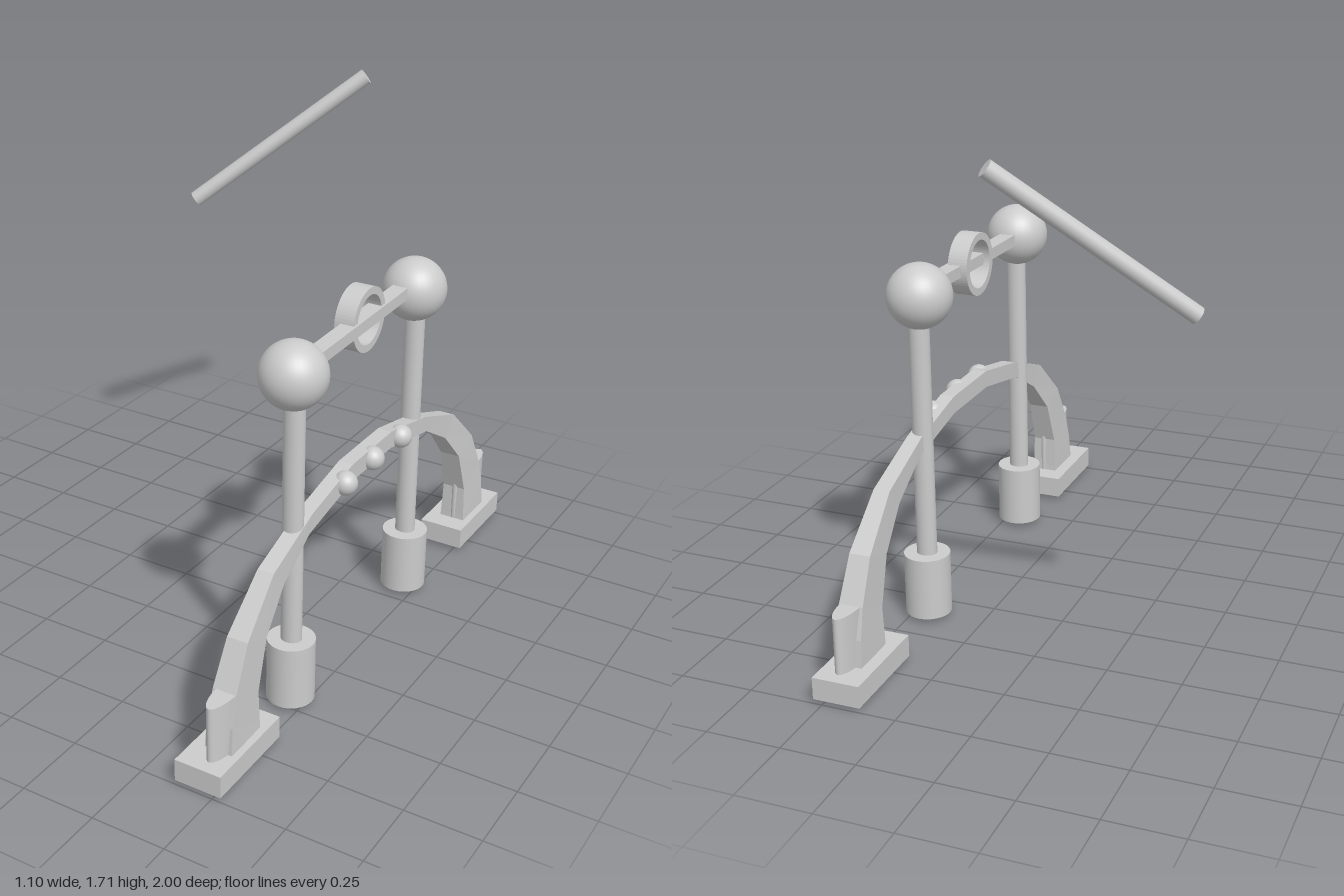
import * as THREE from 'three';

const material = new THREE.MeshStandardMaterial({ color: 0xcccccc });
const flatMaterial = new THREE.MeshStandardMaterial({ color: 0xcccccc, flatShading: true });

export function createModel() {
  const model = new THREE.Group();

  function add(name, geometry, x = 0, y = 0, z = 0, mat = material) {
    const mesh = new THREE.Mesh(geometry, mat);
    mesh.name = name;
    mesh.position.set(x, y, z);
    model.add(mesh);
    return mesh;
  }

  // Rectangular sections [outerZ, outerY, innerZ, innerY, halfWidth] joined into a solid strip
  function loft(sections, centreX) {
    const points = [], index = [];
    for (const [oz, oy, iz, iy, w] of sections) {
      points.push(centreX - w, oy, oz, centreX + w, oy, oz, centreX + w, iy, iz, centreX - w, iy, iz);
    }
    const last = (sections.length - 1) * 4;
    for (let s = 0; s < last; s += 4) {
      for (let k = 0; k < 4; k++) {
        const a = s + k, b = s + (k + 1) % 4;
        index.push(a, b, a + 4, b, b + 4, a + 4);
      }
    }
    index.push(0, 2, 1, 0, 3, 2, last, last + 1, last + 2, last, last + 2, last + 3);
    const geometry = new THREE.BufferGeometry();
    geometry.setAttribute('position', new THREE.Float32BufferAttribute(points, 3));
    geometry.setIndex(index);
    const flat = geometry.toNonIndexed();
    flat.computeVertexNormals();
    return flat;
  }

  // Faceted arch, thick and wide at the feet, slim at the crown
  const half = [
    [0.91, 0, 0.73, 0, 0.05],
    [0.89, 0.18, 0.735, 0.11, 0.045],
    [0.862, 0.28, 0.737, 0.22, 0.041],
    [0.79, 0.42, 0.682, 0.38, 0.036],
    [0.63, 0.57, 0.567, 0.503, 0.028],
    [0.39, 0.66, 0.41, 0.597, 0.025],
    [0.135, 0.713, 0.135, 0.653, 0.025],
  ];
  const mirrored = half.map(([oz, oy, iz, iy, w]) => [-oz, oy, -iz, iy, w]).reverse();
  add('arch', loft([...half, ...mirrored], 0.459), 0, 0, 0, flatMaterial);

  // Base slab and oval buttress under each end of the arch
  for (const side of [1, -1]) {
    add('archBase', new THREE.BoxGeometry(0.16, 0.075, 0.34), 0.45, 0.0525, side * 0.83);
    const buttress = add('archButtress', new THREE.CylinderGeometry(1, 1, 0.22, 32), 0.463, 0.17, side * 0.845);
    buttress.scale.set(0.035, 1, 0.113);
  }

  // Two uprights, each with a socket and a ball on top
  for (const z of [0.451, -0.35]) {
    const pole = add('pole', new THREE.CylinderGeometry(1, 1, 1.1, 32), 0.448, 0.56, z);
    pole.scale.set(0.035, 1, 0.031);
    add('poleSocket', new THREE.CylinderGeometry(0.078, 0.078, 0.215, 32), 0.448, 0.1225, z);
    add('poleBall', new THREE.SphereGeometry(0.108, 32, 24), 0.437, 1.135, z - 0.01);
  }

  // Crossbar between the balls
  const bar = add('crossbar', new THREE.BoxGeometry(0.055, 0.04, 0.76), 0.432, 1.146, 0.04);
  bar.rotation.x = 0.024;

  // Flat ring around the middle of the crossbar
  const ringShape = new THREE.Shape().absarc(0, 0, 0.107, 0, Math.PI * 2);
  ringShape.holes.push(new THREE.Path().absarc(0, 0, 0.082, 0, Math.PI * 2, true));
  const ringGeometry = new THREE.ExtrudeGeometry(ringShape, { depth: 0.068, bevelEnabled: false, curveSegments: 32 });
  const ring = add('ring', ringGeometry, 0.383, 1.15, -0.011);
  ring.rotation.y = Math.PI / 2;

  // Three beads on the side of the crown
  for (const [y, z] of [[0.672, 0.188], [0.679, 0.005], [0.672, -0.197]]) {
    add('bead', new THREE.SphereGeometry(0.04, 24, 16), 0.487, y, z);
  }

  // Loose slanted rod
  const start = new THREE.Vector3(-0.531, 1.228, -0.524);
  const end = new THREE.Vector3(-0.012, 1.684, -0.836);
  const direction = end.clone().sub(start);
  const rod = add('rod', new THREE.CylinderGeometry(0.028, 0.028, direction.length(), 24));
  rod.position.copy(start).add(end).multiplyScalar(0.5);
  rod.quaternion.setFromUnitVectors(new THREE.Vector3(0, 1, 0), direction.normalize());

  return model;
}
